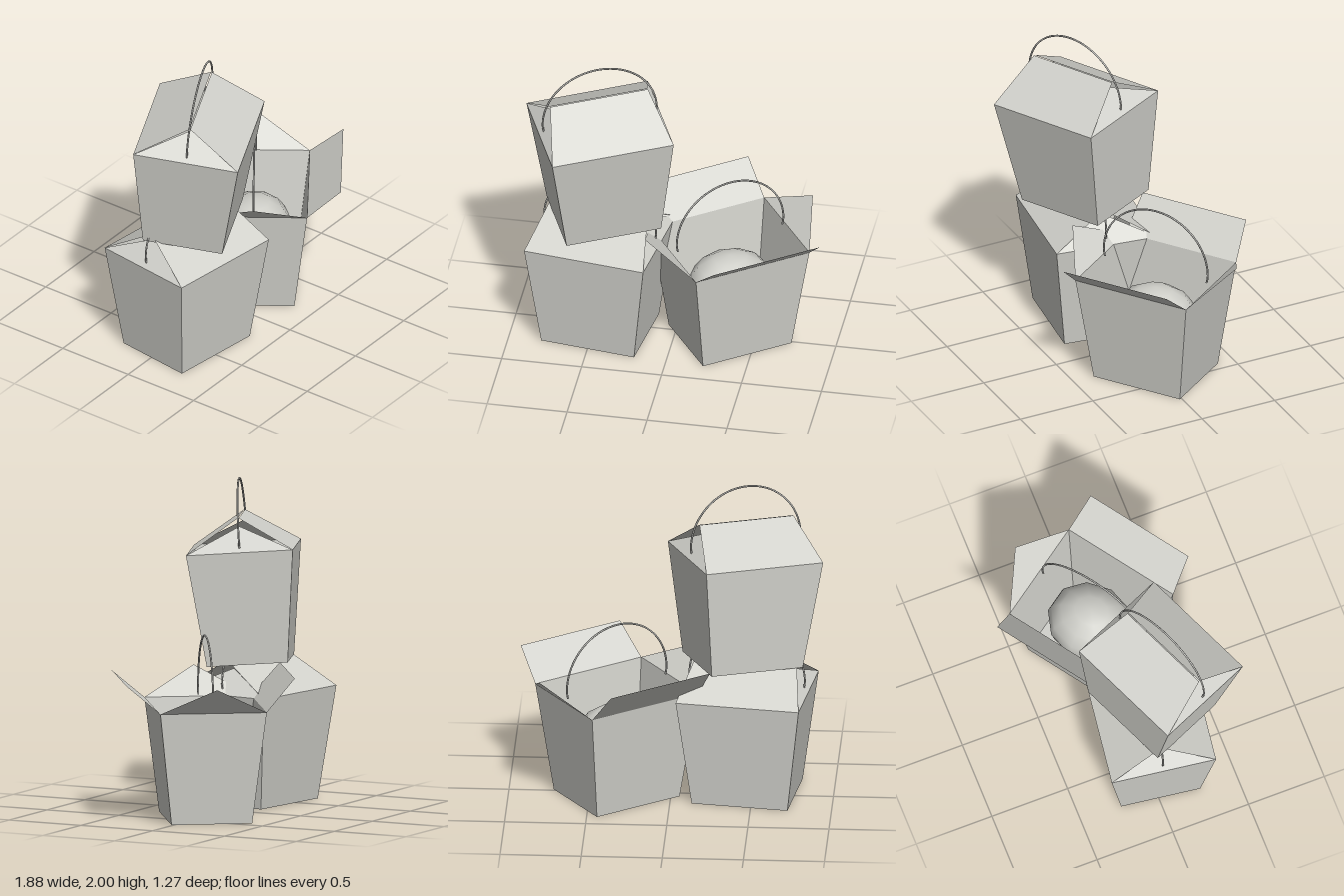
import * as THREE from 'three';

const card = new THREE.MeshStandardMaterial({ color: 0xd2d2cc, side: THREE.DoubleSide });
card.name = 'card grey';
const wire = new THREE.MeshStandardMaterial({ color: 0xb4b4b0 });
wire.name = 'wire grey';
const filling = new THREE.MeshStandardMaterial({ color: 0xcfcfc9 });
filling.name = 'filling grey';

const RIM = { x: 0.385, z: 0.33, y: 0.7 };
const BASE = { x: 0.3, z: 0.25, y: 0 };

// Flat convex panel from its corners, in counter-clockwise order
function panel(name, ...corners) {
  const pos = [];
  for (let i = 1; i < corners.length - 1; i++) pos.push(...corners[0], ...corners[i], ...corners[i + 1]);
  const geometry = new THREE.BufferGeometry();
  geometry.setAttribute('position', new THREE.Float32BufferAttribute(pos, 3));
  geometry.computeVertexNormals();
  const mesh = new THREE.Mesh(geometry, card);
  mesh.name = name;
  return mesh;
}

const SIGNS = [[-1, 1], [1, 1], [1, -1], [-1, -1]];
const ring = (r) => SIGNS.map(([sx, sz]) => [sx * r.x, r.y, sz * r.z]);

// Tapered, open-topped carton with a floor
function carton() {
  const group = new THREE.Group();
  group.name = 'carton';
  const low = ring(BASE), high = ring(RIM);
  for (let i = 0; i < 4; i++) {
    const j = (i + 1) % 4;
    group.add(panel('wall', low[i], low[j], high[j], high[i]));
  }
  group.add(panel('floor', low[3], low[2], low[1], low[0]));
  return group;
}

// Long flap on the s = +1 (front) or -1 (back) edge; out is negative when folded in
function longFlap(s, out, rise, half) {
  const z = s * (RIM.z + out), y = RIM.y + rise;
  return panel('longFlap', [-s * RIM.x, RIM.y, s * RIM.z], [s * RIM.x, RIM.y, s * RIM.z],
    [s * half, y, z], [-s * half, y, z]);
}

// Triangular flap on a short edge
function sideFlap(s, out, rise) {
  return panel('sideFlap', [s * RIM.x, RIM.y, s * RIM.z], [s * RIM.x, RIM.y, -s * RIM.z],
    [s * (RIM.x + out), RIM.y + rise, 0]);
}

// Bent wire handle
function handle() {
  const r = 0.362, cy = 0.766;
  const points = [new THREE.Vector3(-r + 0.008, 0.715, 0)];
  for (let i = 0; i <= 12; i++) {
    const a = Math.PI * (1 - i / 12);
    points.push(new THREE.Vector3(r * Math.cos(a), cy + r * Math.sin(a), 0));
  }
  points.push(new THREE.Vector3(r - 0.008, 0.715, 0));
  const curve = new THREE.CatmullRomCurve3(points);
  const mesh = new THREE.Mesh(new THREE.TubeGeometry(curve, 48, 0.006, 6), wire);
  mesh.name = 'handle';
  return mesh;
}

function closedBox(name) {
  const box = new THREE.Group();
  box.name = name;
  box.add(carton(), handle());
  for (const s of [-1, 1]) {
    box.add(longFlap(s, -RIM.z + 0.003, 0.207, 0.31), sideFlap(s, -0.15, 0.15));
  }
  return box;
}

function openBox(name) {
  const box = new THREE.Group();
  box.name = name;
  box.add(carton(), handle());
  box.add(longFlap(1, 0.207, 0.175, 0.36), longFlap(-1, 0.177, 0.205, 0.36));
  box.add(sideFlap(1, 0.177, 0.17), sideFlap(-1, 0.195, 0.17));
  // Rounded mound of food
  const mound = new THREE.Mesh(new THREE.SphereGeometry(1, 10, 8), filling);
  mound.name = 'filling';
  mound.scale.set(0.285, 0.24, 0.243);
  mound.rotation.y = Math.PI / 10;
  const holder = new THREE.Group();
  mound.rotation.y = 0;
  mound.geometry.rotateY(Math.PI / 10);
  holder.name = 'fillingHolder';
  holder.position.y = 0.35;
  holder.add(mound);
  box.add(holder);
  return box;
}

export function createModel() {
  const model = new THREE.Group();
  model.name = 'takeawayBoxes';

  const right = openBox('openBox');
  right.position.set(0.335, 0, -0.017);
  right.rotation.y = 0.615;

  const lower = closedBox('lowerClosedBox');
  lower.position.set(-0.465, 0, 0.053);
  lower.rotation.y = -0.135;

  // Stacked box leans slightly on the one below
  const upper = closedBox('upperClosedBox');
  upper.position.set(-0.436, 0.873, 0.079);
  upper.rotation.set(0.065, 0.424, 0.052, 'YXZ');

  model.add(right, lower, upper);
  return model;
}
